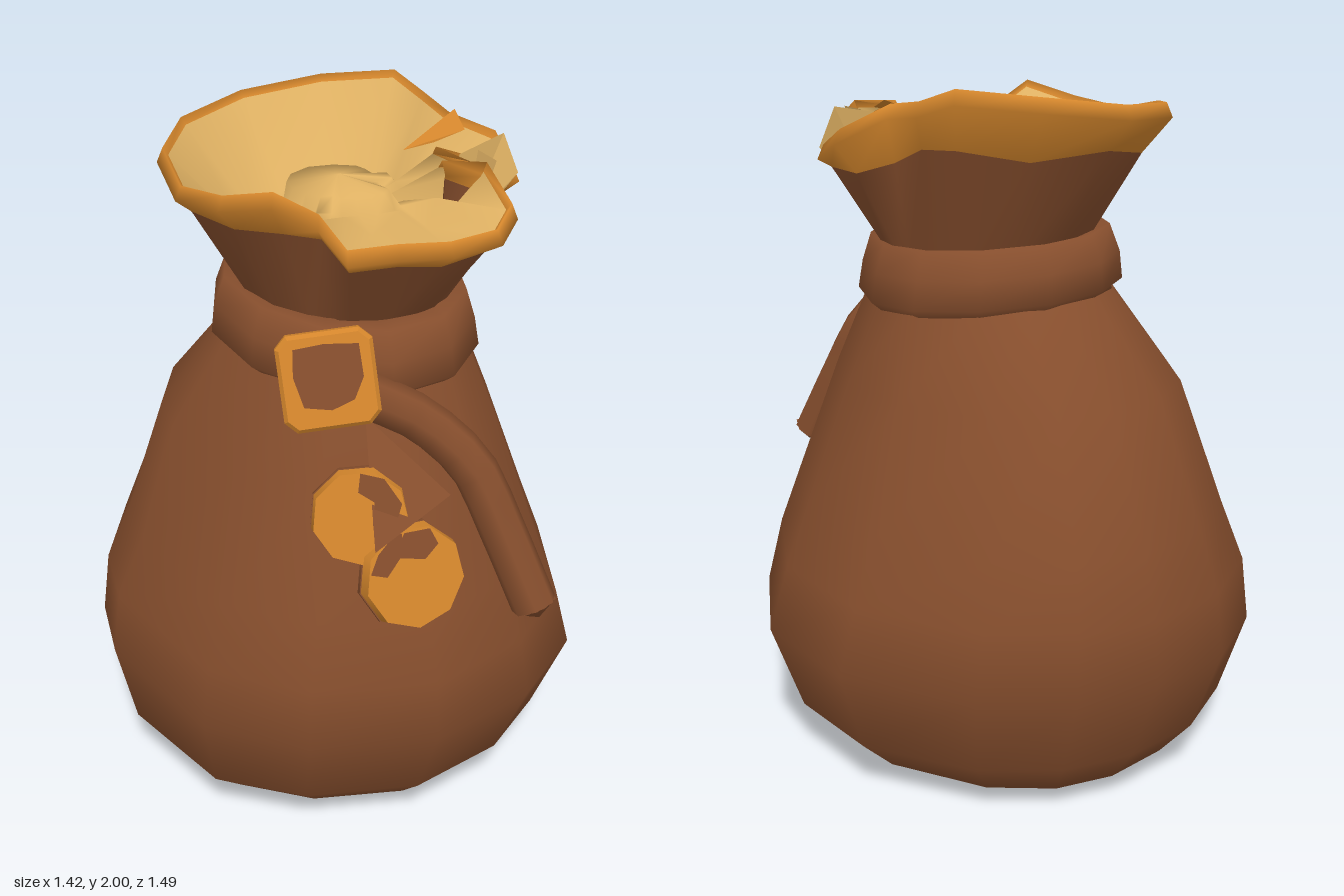
import * as THREE from 'three';

const V = (x, y, z) => new THREE.Vector3(x, y, z);
const colour = (name, hex) => {
  const m = new THREE.MeshStandardMaterial({ color: hex, side: THREE.DoubleSide });
  m.name = name;
  return m;
};

// Skin over closed rings of points; rings run counter-clockwise seen from above
function loft(rings) {
  const n = rings[0].length, index = [];
  const pos = rings.flat().flatMap(p => [p.x, p.y, p.z]);
  for (let i = 0; i < rings.length - 1; i++) {
    for (let j = 0; j < n; j++) {
      const k = (j + 1) % n, a = i * n + j, b = i * n + k;
      index.push(a, b, b + n, a, b + n, a + n);
    }
  }
  const g = new THREE.BufferGeometry();
  g.setAttribute('position', new THREE.Float32BufferAttribute(pos, 3));
  g.setIndex(index);
  g.computeVertexNormals();
  return g;
}

// Lopsided oval ring from its reach to each side; spokes are [degrees, bulge]
function oval([y, left, right, front, back], spokes) {
  return spokes.map(([degrees, bulge]) => {
    const a = THREE.MathUtils.degToRad(degrees);
    const s = Math.sin(a) * bulge, c = Math.cos(a) * bulge;
    return V(s * (s > 0 ? right : left), y, c * (c > 0 ? front : back));
  });
}

// Flat-faced fan of triangles around the first point
function fan(points) {
  const tris = [];
  for (let i = 1; i < points.length - 1; i++) tris.push(points[0], points[i], points[i + 1]);
  const g = new THREE.BufferGeometry().setFromPoints(tris.map(p => V(...p)));
  g.computeVertexNormals();
  return g;
}

const outline = points => new THREE.Shape(points.map(([x, y]) => new THREE.Vector2(x, y)));

export function createModel() {
  const group = new THREE.Group();
  const brown = colour('brown leather', 0x864e2d);
  const orange = colour('orange trim', 0xd4862c);
  const tan = colour('tan lining', 0xdfb163);

  const add = (name, geometry, material, parent = group) => {
    const mesh = new THREE.Mesh(geometry, material);
    mesh.name = name;
    parent.add(mesh);
    return mesh;
  };

  // Bulging sack, fuller towards its back right
  const bodySpokes = [
    [4, 1], [32, 0.99], [56, 1.01], [86, 1], [115, 0.98], [148, 0.97], [170, 1],
    [189, 1.02], [210, 1.045], [231, 1.055], [254, 1.02], [272, 1], [310, 1], [335, 0.99],
  ];
  const bodyRings = [
    [0, 0.001, 0.001, 0.001, 0.001],
    [0, 0.34, 0.38, 0.33, 0.35],
    [0.07, 0.54, 0.51, 0.5, 0.57],
    [0.17, 0.66, 0.62, 0.6, 0.64],
    [0.43, 0.715, 0.71, 0.72, 0.745],
    [0.62, 0.69, 0.65, 0.715, 0.73],
    [0.8, 0.61, 0.58, 0.66, 0.69],
    [1.15, 0.5, 0.45, 0.53, 0.54],
    [1.4, 0.33, 0.35, 0.41, 0.3],
  ].map(r => oval(r, bodySpokes));
  add('sackBody', loft(bodyRings), brown);

  // Rolled collar around the neck, dipping to the front left
  const collarSpokes = Array.from({ length: 12 }, (_, i) => [i * 30, 1]);
  const collarRings = [
    [1.4, 0.26, 0.28, 0.34, 0.24],
    [1.36, 0.32, 0.34, 0.41, 0.28],
    [1.4, 0.37, 0.385, 0.46, 0.34],
    [1.48, 0.36, 0.37, 0.45, 0.335],
    [1.56, 0.33, 0.345, 0.42, 0.305],
    [1.54, 0.24, 0.26, 0.3, 0.22],
  ].map(r => oval(r, collarSpokes).map(p => V(p.x, p.y - 0.04 * (p.x + p.z), p.z)));
  add('collar', loft(collarRings), brown);

  // Mouth outline with gathered folds on its front and left
  const rim = [
    [0, 1.8, 0.49], [0.14, 1.79, 0.49], [0.28, 1.8, 0.47], [0.36, 1.83, 0.38],
    [0.33, 1.91, 0.27], [0.22, 1.91, 0.22], [0.33, 1.88, 0.17], [0.25, 1.91, 0.1],
    [0.5, 1.82, 0.08], [0.51, 1.88, -0.08], [0.37, 1.94, -0.1],
    [0.35, 1.96, -0.25], [0.3, 2, -0.37], [0.1, 1.98, -0.47],
    [-0.15, 1.95, -0.48], [-0.37, 1.93, -0.33], [-0.47, 1.91, -0.13],
    [-0.47, 1.87, 0.08], [-0.4, 1.89, 0.25], [-0.3, 1.93, 0.38],
    [-0.18, 1.86, 0.38], [-0.14, 1.8, 0.49],
  ].map(p => V(...p));
  const neck = rim.map(p => {
    const a = Math.atan2(p.x, p.z);
    const r = 0.8 + 0.2 * Math.min(1, Math.hypot(p.x, p.z) / 0.45);
    return V(0.02 + 0.28 * r * Math.sin(a), 1.5, 0.03 + 0.27 * r * Math.cos(a));
  });
  const bandEdge = rim.map((p, i) => {
    const depth = i > 3 && i < 8 ? 0.16 : p.z < 0 ? 0.32 : 0.24;
    return p.clone().lerp(neck[i], depth + 0.05 * Math.sin(i * 2.1));
  });
  add('flaredNeck', loft([neck, bandEdge]), brown);

  // Rounded trim, then lining that sinks at the back and bunches up at the front
  const inward = (scale, height) => rim.map((p, i) => V(p.x * scale, height(p, i), p.z * scale));
  const bunched = i => i < 9 || i > 18;
  const outerLip = inward(1, p => p.y - 0.04);
  const crest = inward(0.965, p => p.y);
  const liningEdge = inward(0.935, p => p.y - 0.02);
  const pleats = inward(0.56, (p, i) => (bunched(i) ? 1.75 + 0.06 * (i % 2) : 1.7));
  const floor = inward(0.36, (p, i) => (bunched(i) ? 1.77 : 1.63));
  const ridge = inward(0.29, () => 1.81);
  const middle = inward(0, () => 1.83);
  add('mouthTrim', loft([bandEdge, outerLip, crest, liningEdge]), orange);
  add('mouthLining', loft([liningEdge, pleats, floor, ridge, middle]), tan);

  // Lining and trim showing through the side folds
  add('foldLining', fan([[0.27, 1.54, 0.18], [0.35, 1.9, 0.13], [0.36, 1.9, 0.23]]), tan);
  add('flapLining', fan([[0.29, 1.62, 0.13], [0.4, 1.74, 0.11], [0.49, 1.81, 0.09], [0.45, 1.92, 0.07], [0.3, 1.89, 0.12]]), tan);
  add('flapTrim', fan([[0.18, 1.88, 0.01], [0.25, 1.91, 0.06], [0.36, 1.92, 0.01], [0.37, 1.95, -0.09]]), orange);

  // Square buckle on the collar
  const buckle = new THREE.Group();
  buckle.name = 'buckle';
  buckle.position.set(-0.18, 1.45, 0.455);
  buckle.rotation.set(-0.33, -0.25, 0.03);
  group.add(buckle);
  const h = 0.115, c = 0.025;
  const square = outline([[-h + c, -h], [h - c, -h], [h, -h + c], [h, h - c], [h - c, h], [-h + c, h], [-h, h - c], [-h, -h + c]]);
  const frame = new THREE.ExtrudeGeometry(square, {
    depth: 0.035, bevelEnabled: true, bevelSize: 0.01, bevelThickness: 0.012, bevelSegments: 1,
  });
  frame.translate(0, 0, -0.017);
  add('buckleFrame', frame, orange, buckle);
  const inset = outline([[-0.07, -0.06], [0, -0.075], [0.06, -0.055], [0.09, 0], [0.088, 0.085], [0, 0.095], [-0.08, 0.09], [-0.088, 0.02]]);
  add('buckleInset', new THREE.ShapeGeometry(inset), brown, buckle).position.z = 0.033;

  // Hanging strap with a blunt tip
  const path = new THREE.CatmullRomCurve3([
    V(-0.1, 1.4, 0.45), V(0.06, 1.31, 0.48), V(0.19, 1.18, 0.54), V(0.255, 1.02, 0.6), V(0.33, 0.8, 0.685),
  ]);
  add('strap', new THREE.TubeGeometry(path, 10, 0.064, 7), brown);
  const tip = add('strapTip', new THREE.ConeGeometry(0.064, 0.04, 7), brown);
  const end = path.getTangent(1);
  tip.position.copy(path.getPoint(1)).addScaledVector(end, 0.02);
  tip.quaternion.setFromUnitVectors(V(0, 1, 0), end);

  // Two discs hanging below the buckle, each with a leather patch
  const disc = (name, [x, y, z], r, yaw, patch) => {
    const holder = new THREE.Group();
    holder.name = name;
    holder.position.set(x, y, z);
    holder.rotation.set(-0.3, yaw, 0);
    group.add(holder);
    const face = add(name + 'Face', new THREE.CylinderGeometry(r * 0.94, r, 0.045, 9), orange, holder);
    const edge = add(name + 'Edge', new THREE.CylinderGeometry(r * 1.01, r * 1.01, 0.015, 9), brown, holder);
    face.rotation.x = edge.rotation.x = Math.PI / 2;
    edge.position.z = -0.02;
    add(name + 'Patch', new THREE.ShapeGeometry(outline(patch)), brown, holder).position.z = 0.026;
  };
  disc('upperDisc', [-0.13, 1.1, 0.57], 0.135, -0.3,
    [[0.01, 0.12], [0, 0.07], [0.04, 0.04], [0.03, -0.02], [0.07, -0.08], [0.11, 0.03], [0.07, 0.1]]);
  disc('lowerDisc', [-0.01, 0.94, 0.645], 0.148, 0.05,
    [[-0.125, 0.03], [-0.08, 0.015], [-0.04, 0.06], [0.03, 0.045], [0.07, 0.08], [0.05, 0.125], [-0.05, 0.125], [-0.1, 0.08]]);

  // Folded leather tab between the discs
  const [top, left, right, back] = [[-0.08, 1.33, 0.46], [-0.12, 1.04, 0.66], [0.1, 1.15, 0.62], [0.02, 1.05, 0.54]];
  add('foldedTab', fan([top, left, right, back, left]), brown);
  add('foldedTabBase', fan([left, back, right]), brown);

  return group;
}
